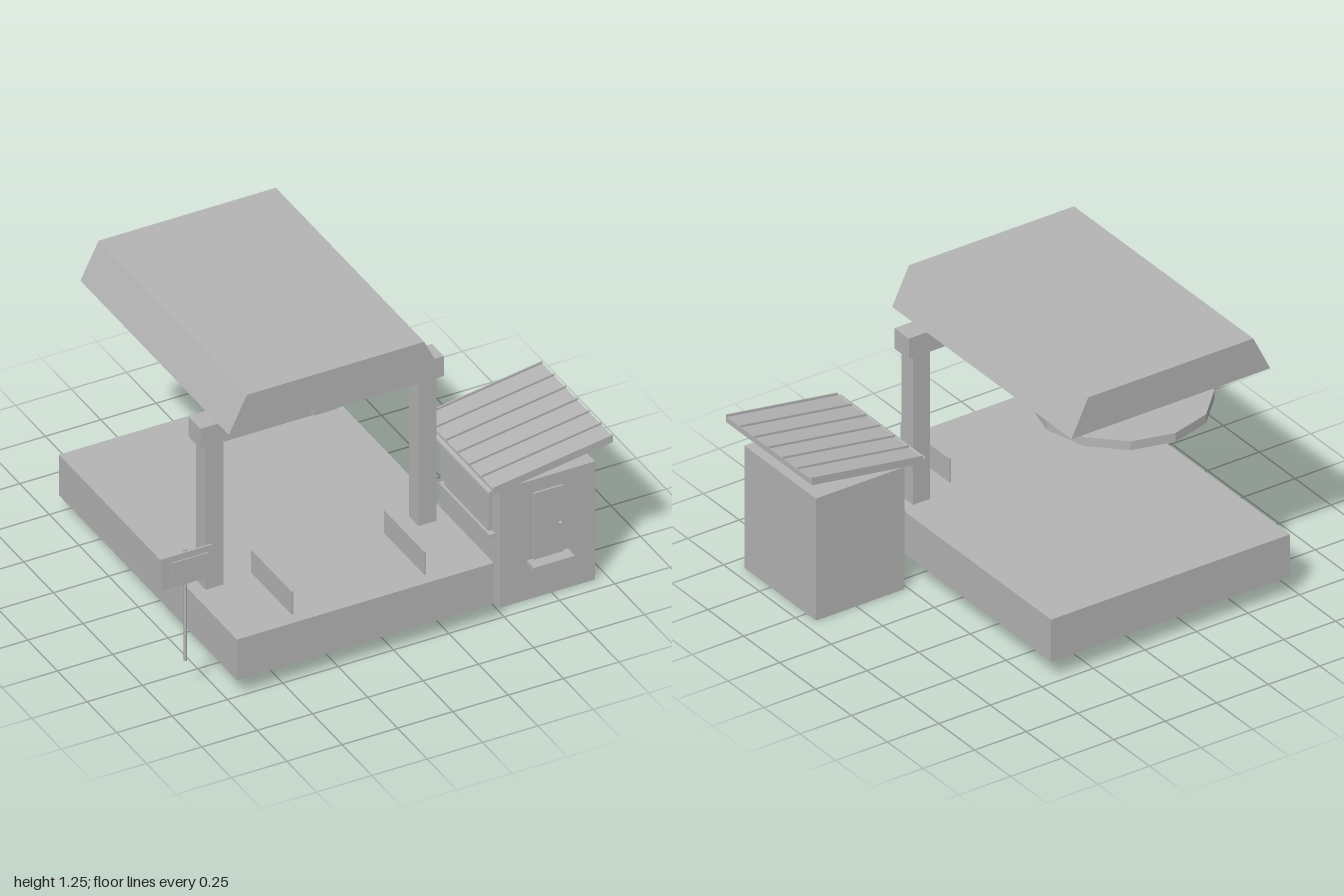
import * as THREE from 'three';

export function createModel() {
  const group = new THREE.Group();
  const grey = new THREE.MeshStandardMaterial({ color: 0xb4b4b4, flatShading: true });
  grey.name = 'plain grey';
  const greyOpen = grey.clone();
  greyOpen.side = THREE.DoubleSide;
  greyOpen.name = 'plain grey';

  const add = (name, geometry, material = grey) => {
    const mesh = new THREE.Mesh(geometry, material);
    mesh.name = name;
    group.add(mesh);
    return mesh;
  };
  // Box given by its limits on each axis
  const box = (name, x0, x1, y0, y1, z0, z1) => {
    const mesh = add(name, new THREE.BoxGeometry(x1 - x0, y1 - y0, z1 - z0));
    mesh.position.set((x0 + x1) / 2, (y0 + y1) / 2, (z0 + z1) / 2);
    return mesh;
  };
  // Front outline pulled along z
  const prism = (name, points, z0, z1) => {
    const shape = new THREE.Shape(points.map(([x, y]) => new THREE.Vector2(x, y)));
    const mesh = add(name, new THREE.ExtrudeGeometry(shape, { depth: z1 - z0, bevelEnabled: false }));
    mesh.position.z = z0;
    return mesh;
  };
  const cylinder = (name, r, y0, y1, x, z, sides) => {
    const mesh = add(name, new THREE.CylinderGeometry(r, r, y1 - y0, sides));
    mesh.position.set(x, (y0 + y1) / 2, z);
    return mesh;
  };

  const midX = -0.135;

  // Platform and portal frame
  box('platform', -0.715, 0.445, 0.09, 0.285, -0.735, 0.765);
  for (const side of [-1, 1]) {
    const x = midX + side * 0.481;
    box('post', x - 0.041, x + 0.041, 0.285, 0.975, 0.31, 0.392);
    const px = midX + side * 0.3;
    box('wheelStop', px - 0.004, px + 0.004, 0.285, 0.395, 0.37, 0.71);
  }
  box('crossBeam', -0.685, 0.415, 0.975, 1.07, 0.3, 0.4);
  box('longBeam', midX - 0.05, midX + 0.05, 0.995, 1.078, -0.567, 0.432);

  // Disc hanging under the long beam
  cylinder('disc', 0.367, 0.927, 0.968, midX, -0.4, 12);
  cylinder('discHub', 0.042, 0.83, 0.996, midX, -0.4, 12);

  // Canopy with sloping sides
  prism('canopy', [[-0.618, 1.088], [0.346, 1.088], [0.265, 1.254], [-0.536, 1.254]], -0.735, 0.515);

  // Booth
  box('booth', 0.515, 0.945, 0, 0.566, 0.185, 0.685);
  box('door', 0.665, 0.797, 0.187, 0.505, 0.685, 0.694);
  box('doorStep', 0.637, 0.823, 0.167, 0.188, 0.685, 0.745);
  const knob = add('doorKnob', new THREE.SphereGeometry(0.008, 8, 6));
  knob.position.set(0.779, 0.337, 0.705);
  box('sideWindow', 0.498, 0.515, 0.335, 0.52, 0.25, 0.62);
  box('windowSill', 0.487, 0.515, 0.323, 0.336, 0.22, 0.65);

  // Sloping booth roof with raised seams
  const low = 0.46, lowY = 0.588, high = 1, highY = 0.671;
  const strip = (a, b) => [[low, lowY + a], [high, highY + a], [high, highY + b], [low, lowY + b]];
  prism('boothRoof', strip(0, 0.025), 0.135, 0.735);
  for (let i = 0; i < 7; i++) {
    const z = 0.138 + i * 0.099;
    prism('roofSeam', strip(0.024, 0.035), z - 0.003, z + 0.003);
  }

  // Gutter along the low edge of the roof
  const gutter = add('gutter',
    new THREE.CylinderGeometry(0.013, 0.013, 0.6, 8, 1, true, -Math.PI / 2, Math.PI), greyOpen);
  gutter.rotation.x = Math.PI / 2;
  gutter.position.set(0.451, 0.598, 0.435);
  gutter.scale.z = -1;

  // Sign beside the platform
  cylinder('signPost', 0.007, 0.17, 0.705, -0.885, 0.647, 8);
  box('signBoard', -1, -0.77, 0.545, 0.697, 0.652, 0.66);
  box('signPanel', -0.955, -0.79, 0.575, 0.667, 0.66, 0.665);

  return group;
}
